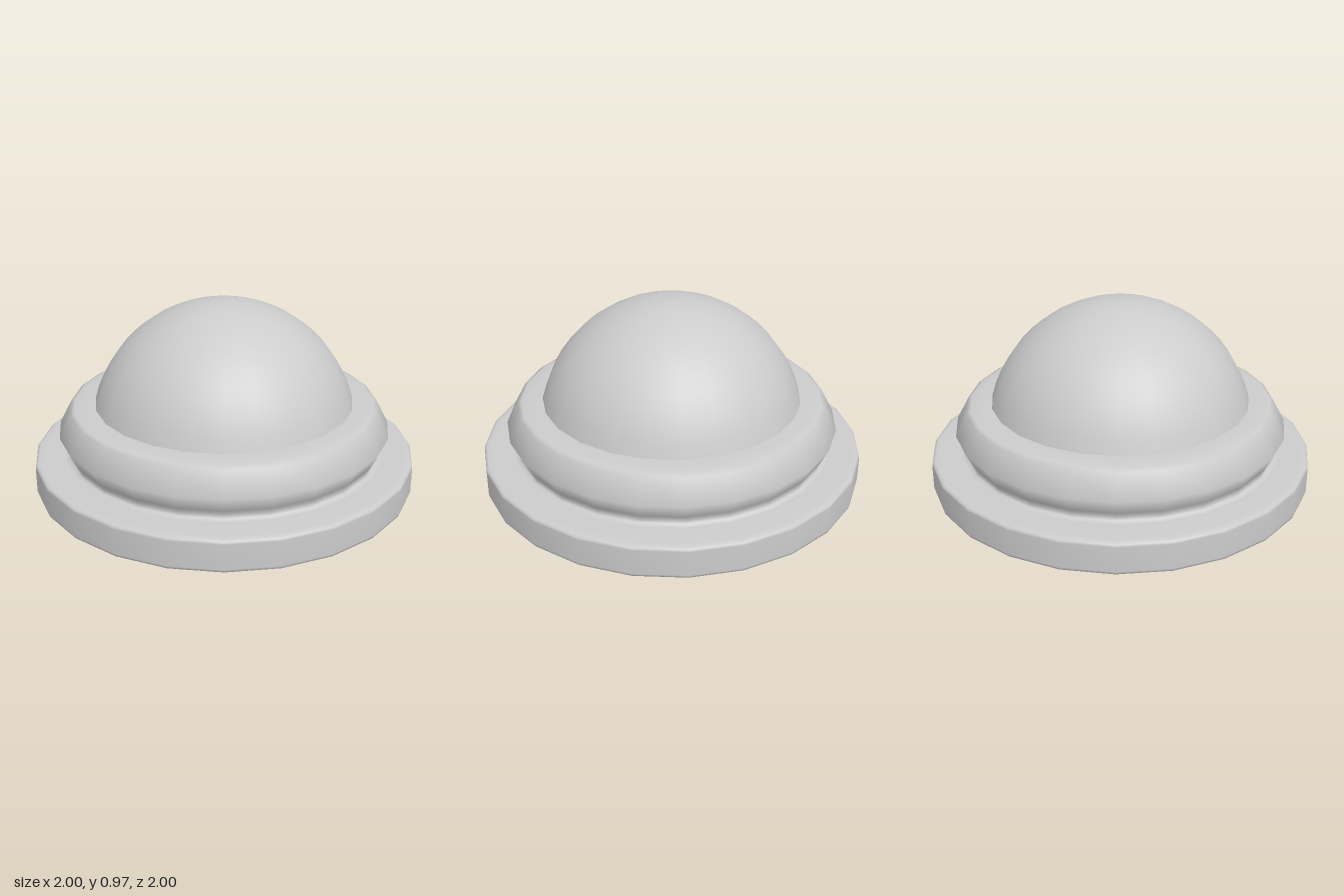
import * as THREE from 'three';

const SIDES = 24;
const material = new THREE.MeshStandardMaterial({ color: 0xcccccc });

// Revolves a bottom-to-top profile of [radius, height] pairs
function turned(name, profile) {
  const points = profile.map(([r, y]) => new THREE.Vector2(r, y));
  const mesh = new THREE.Mesh(new THREE.LatheGeometry(points, SIDES), material);
  mesh.name = name;
  return mesh;
}

export function createModel() {
  const group = new THREE.Group();
  group.name = 'domedButton';

  // Flat underside
  group.add(turned('underside', [[0, 0], [0.95, 0]]));

  // Base disc with softly bevelled rims
  group.add(turned('base', [
    [0.95, 0], [0.985, 0.004], [0.997, 0.012], [1, 0.025],
    [1, 0.155], [0.997, 0.167], [0.985, 0.174], [0.96, 0.176], [0.84, 0.178],
  ]));

  // Bulging collar with a small fillet at its foot and a flat top
  group.add(turned('collar', [
    [0.84, 0.178], [0.82, 0.183], [0.81, 0.2], [0.83, 0.228], [0.868, 0.307],
    [0.805, 0.425], [0.785, 0.435], [0.735, 0.442], [0.66, 0.442],
  ]));

  // Spherical cap
  const baseY = 0.44, topY = 0.97, rimRadius = 0.676;
  const height = topY - baseY;
  const radius = (rimRadius ** 2 + height ** 2) / (2 * height);
  const startAngle = Math.asin((baseY - topY + radius) / radius);
  const cap = [];
  for (let i = 0; i <= 12; i++) {
    const a = THREE.MathUtils.lerp(startAngle, Math.PI / 2, i / 12);
    cap.push([i === 12 ? 0 : radius * Math.cos(a), topY - radius + radius * Math.sin(a)]);
  }
  group.add(turned('dome', cap));

  return group;
}
